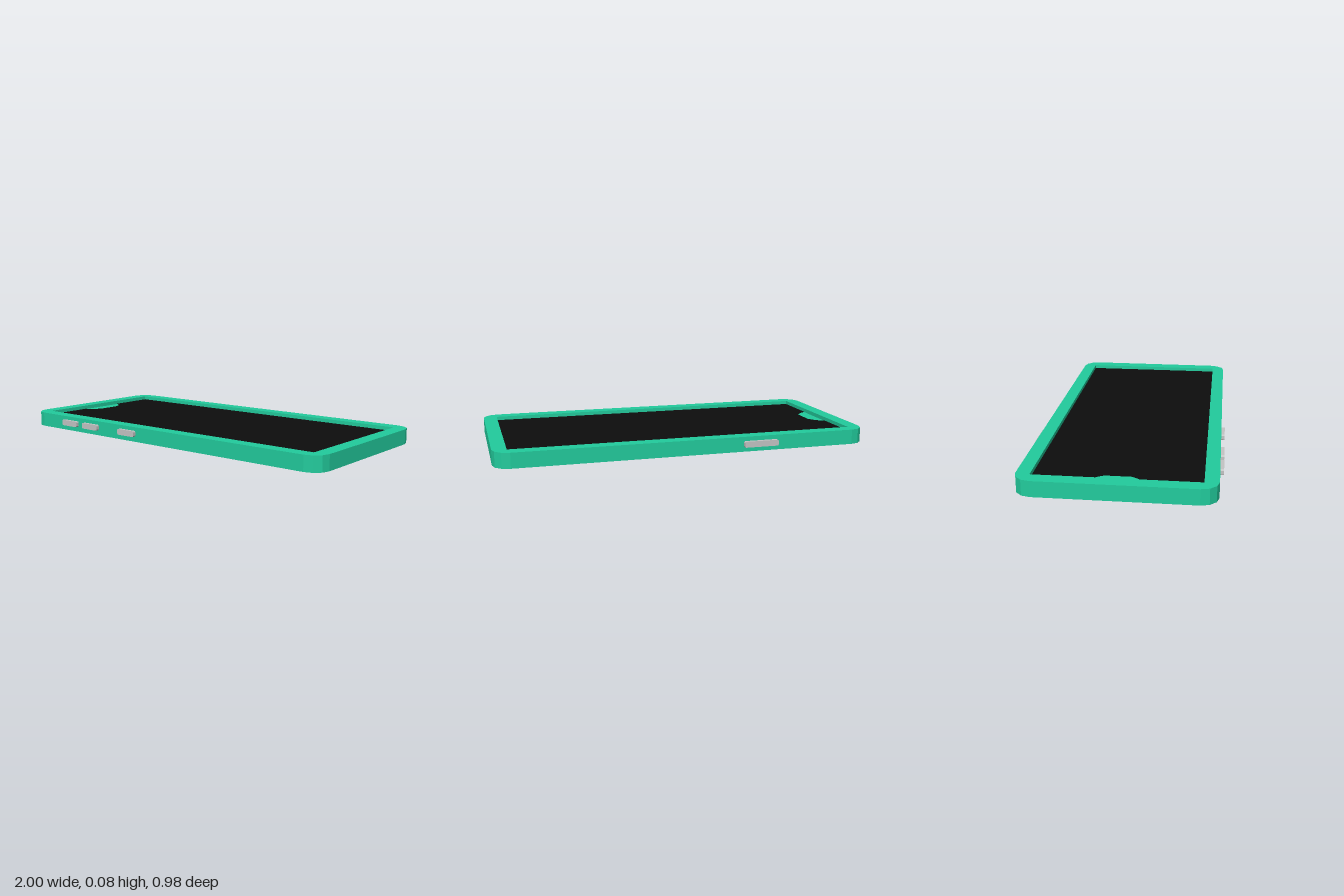
import * as THREE from 'three';

const L = 1, W = 0.472, H = 0.08, FLOOR = 0.058;

// Rectangle outline with faceted round corners
function roundedOutline(hx, hy, r, steps) {
  const pts = [];
  [[1, 1], [-1, 1], [-1, -1], [1, -1]].forEach(([sx, sy], q) => {
    for (let i = 0; i <= steps; i++) {
      const a = (q + i / steps) * Math.PI / 2;
      pts.push(new THREE.Vector2(sx * (hx - r) + r * Math.cos(a), sy * (hy - r) + r * Math.sin(a)));
    }
  });
  return pts;
}

// Extrude an x/z outline upward from y0 to y1
function slab(shape, y0, y1) {
  const g = new THREE.ExtrudeGeometry(shape, { depth: y1 - y0, bevelEnabled: false });
  g.rotateX(-Math.PI / 2);
  g.translate(0, y0, 0);
  return g;
}

export function createModel() {
  const group = new THREE.Group();
  const caseGreen = new THREE.MeshStandardMaterial({ color: 0x22cc9d });
  caseGreen.name = 'case green';
  const screenBlack = new THREE.MeshStandardMaterial({ color: 0x0d0d0d });
  screenBlack.name = 'screen black';
  const buttonGrey = new THREE.MeshStandardMaterial({ color: 0xc4c4c4 });
  buttonGrey.name = 'button grey';

  const add = (name, geometry, material) => {
    const mesh = new THREE.Mesh(geometry, material);
    mesh.name = name;
    group.add(mesh);
    return mesh;
  };

  // Case: solid back and raised rim around the recessed screen
  const outline = roundedOutline(L, W, 0.085, 3);
  add('caseBack', slab(new THREE.Shape(outline), 0, FLOOR), caseGreen);
  const rim = new THREE.Shape(outline);
  const hx = 0.926, hz = 0.402;
  rim.holes.push(new THREE.Path([[-hx, -hz], [-hx, hz], [hx, hz], [hx, -hz]]
    .map(([x, y]) => new THREE.Vector2(x, y))));
  add('caseRim', slab(rim, FLOOR, H), caseGreen);

  // Screen with a notch cut out at the -x end, showing the case below
  const screen = new THREE.Shape([
    [-hx, -hz], [hx, -hz], [hx, hz], [-hx, hz],
    [-hx, 0.138], [-0.902, 0.128], [-0.873, 0.098], [-0.853, 0.065],
    [-0.853, -0.065], [-0.873, -0.098], [-0.902, -0.126], [-hx, -0.134],
  ].map(([x, y]) => new THREE.Vector2(x, y)));
  add('screen', slab(screen, FLOOR, FLOOR + 0.002), screenBlack);

  // Side buttons: three on the front edge, one on the back edge
  const button = (name, x0, x1, y, side) => {
    const shape = new THREE.Shape(roundedOutline((x1 - x0) / 2, 0.016, 0.007, 2));
    const g = new THREE.ExtrudeGeometry(shape, { depth: 0.03, bevelEnabled: false });
    g.translate(0, 0, -0.015);
    add(name, g, buttonGrey).position.set((x0 + x1) / 2, y, side * 0.475);
  };
  button('volumeUpButton', -0.726, -0.604, 0.044, 1);
  button('volumeDownButton', -0.556, -0.434, 0.044, 1);
  button('sideButton', -0.268, -0.146, 0.044, 1);
  button('powerButton', -0.476, -0.286, 0.041, -1);

  return group;
}
